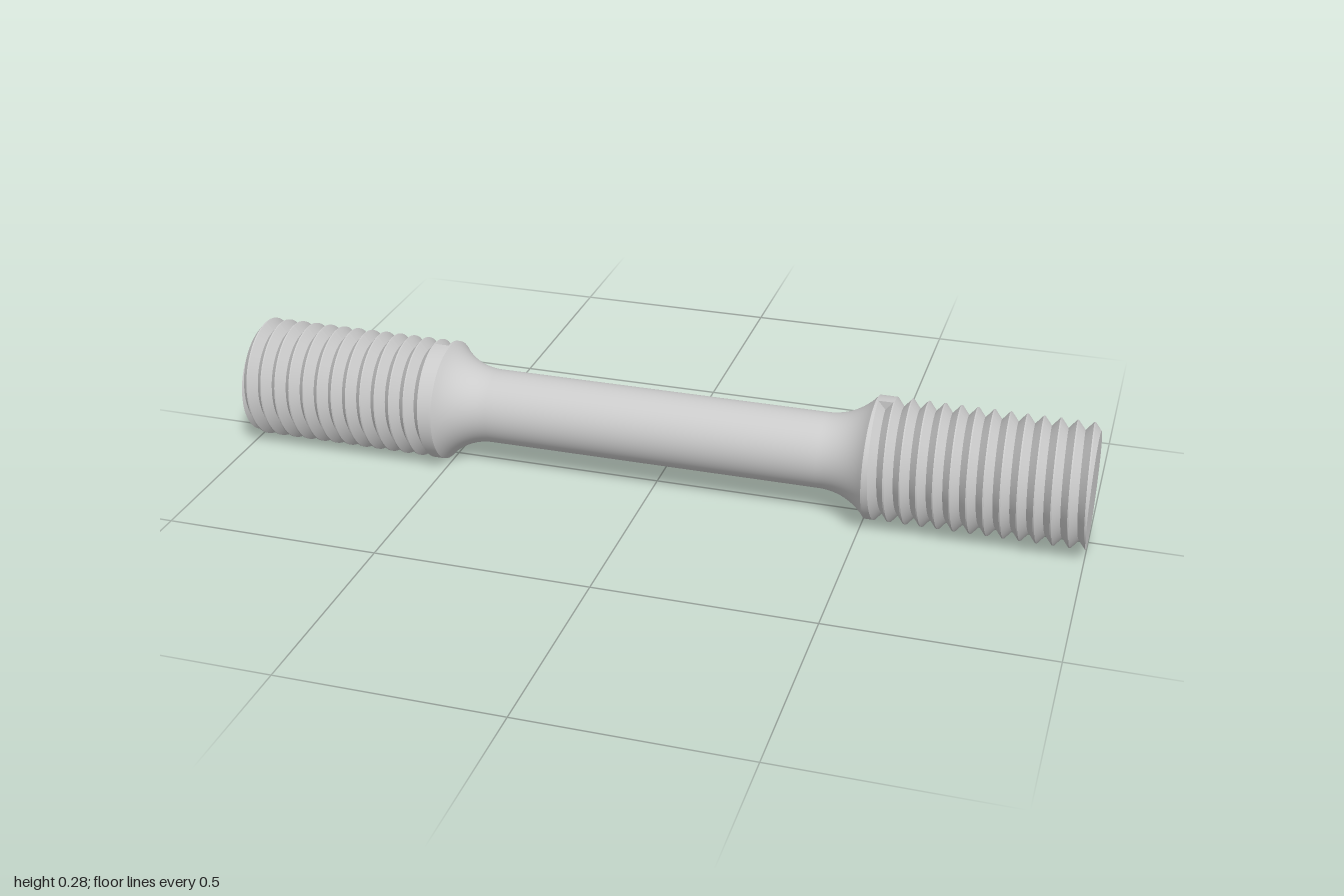
import * as THREE from 'three';

const R = 0.141;          // outer radius of the threaded ends
const GAUGE_R = 0.087;    // radius of the slim middle
const COLLAR_IN = 0.508, COLLAR_OUT = 0.512, END = 1;
const PITCH = 0.0365, DEPTH = 0.02, HALF = 0.46 * PITCH, START = 0.53;
const SEGS = 72;

const material = new THREE.MeshStandardMaterial({ color: 0xcccccc, side: THREE.DoubleSide });

function geometryFrom(positions, indices) {
  const g = new THREE.BufferGeometry();
  g.setAttribute('position', new THREE.Float32BufferAttribute(positions, 3));
  g.setIndex(indices);
  g.computeVertexNormals();
  return g;
}

function addMesh(parent, name, geometry) {
  const mesh = new THREE.Mesh(geometry, material);
  mesh.name = name;
  parent.add(mesh);
  return mesh;
}

// Lathe turned so that its axis runs along x
function addTurned(parent, name, profile) {
  const g = new THREE.LatheGeometry(profile.map(([x, r]) => new THREE.Vector2(r, x)), SEGS);
  g.rotateZ(-Math.PI / 2);
  return addMesh(parent, name, g);
}

// Radius of the threaded surface: a V groove following a right-hand helix
function threadRadius(x, angle) {
  const turn = (x - START) / PITCH - angle / (2 * Math.PI);
  const k = Math.max(0, Math.round(turn));
  const off = Math.abs(turn - k) * PITCH;
  return R - DEPTH * Math.max(0, 1 - off / HALF);
}

const onThread = (x, angle) => {
  const r = threadRadius(x, angle);
  return [x, r * Math.cos(angle), r * Math.sin(angle)];
};

// Thread flanks: strips that follow the helix and are trimmed at the end face
function threadGeometry() {
  const turns = Math.ceil((END - START) / PITCH) + 1;
  const offsets = [null];
  for (let k = 0; k < turns; k++) {
    offsets.push(k * PITCH - HALF, k * PITCH, k * PITCH + HALF);
  }
  const station = (o, angle) => o === null
    ? COLLAR_OUT
    : Math.min(END, START + PITCH * angle / (2 * Math.PI) + o);
  const pos = [], idx = [];
  for (let s = 0; s + 1 < offsets.length; s++) {
    const base = pos.length / 3;
    for (let i = 0; i <= SEGS; i++) {
      const a = (i / SEGS) * Math.PI * 2;
      pos.push(...onThread(station(offsets[s], a), a), ...onThread(station(offsets[s + 1], a), a));
      if (i < SEGS) {
        const n = base + i * 2;
        idx.push(n, n + 2, n + 1, n + 1, n + 2, n + 3);
      }
    }
  }
  return geometryFrom(pos, idx);
}

// Flat end face whose rim follows the cut thread
function endFaceGeometry() {
  const pos = [END, 0, 0], idx = [];
  for (let i = 0; i <= SEGS; i++) {
    pos.push(...onThread(END, (i / SEGS) * Math.PI * 2));
    if (i < SEGS) idx.push(0, i + 1, i + 2);
  }
  return geometryFrom(pos, idx);
}

function threadedEnd(name) {
  const end = new THREE.Group();
  end.name = name;
  addMesh(end, 'thread', threadGeometry());
  addMesh(end, 'endFace', endFaceGeometry());
  // Small wall where the groove begins
  addMesh(end, 'threadStart', geometryFrom(
    [START - HALF, R, 0, START, R - DEPTH, 0, START + HALF, R, 0], [0, 1, 2]));
  addTurned(end, 'collar', [[COLLAR_IN, R], [COLLAR_OUT, R]]);
  return end;
}

export function createModel() {
  const model = new THREE.Group();
  model.name = 'threadedTestBar';
  const bar = new THREE.Group();
  bar.name = 'bar';
  bar.position.y = R;
  model.add(bar);

  // Slim middle with an arc fillet flaring out to each collar
  const flatEnd = 0.395, dx = COLLAR_IN - flatEnd, dy = R - GAUGE_R;
  const filletR = (dx * dx + dy * dy) / (2 * dy);
  const sweep = Math.asin(dx / filletR);
  const half = [];
  for (let i = 0; i <= 12; i++) {
    const a = (i / 12) * sweep;
    half.push([flatEnd + filletR * Math.sin(a), GAUGE_R + filletR * (1 - Math.cos(a))]);
  }
  addTurned(bar, 'gaugeSection', [...half.map(([x, r]) => [-x, r]).reverse(), ...half]);

  // Threaded ends, the second turned half round
  bar.add(threadedEnd('leftThreadedEnd'));
  const right = threadedEnd('rightThreadedEnd');
  right.rotation.y = Math.PI;
  bar.add(right);
  return model;
}
